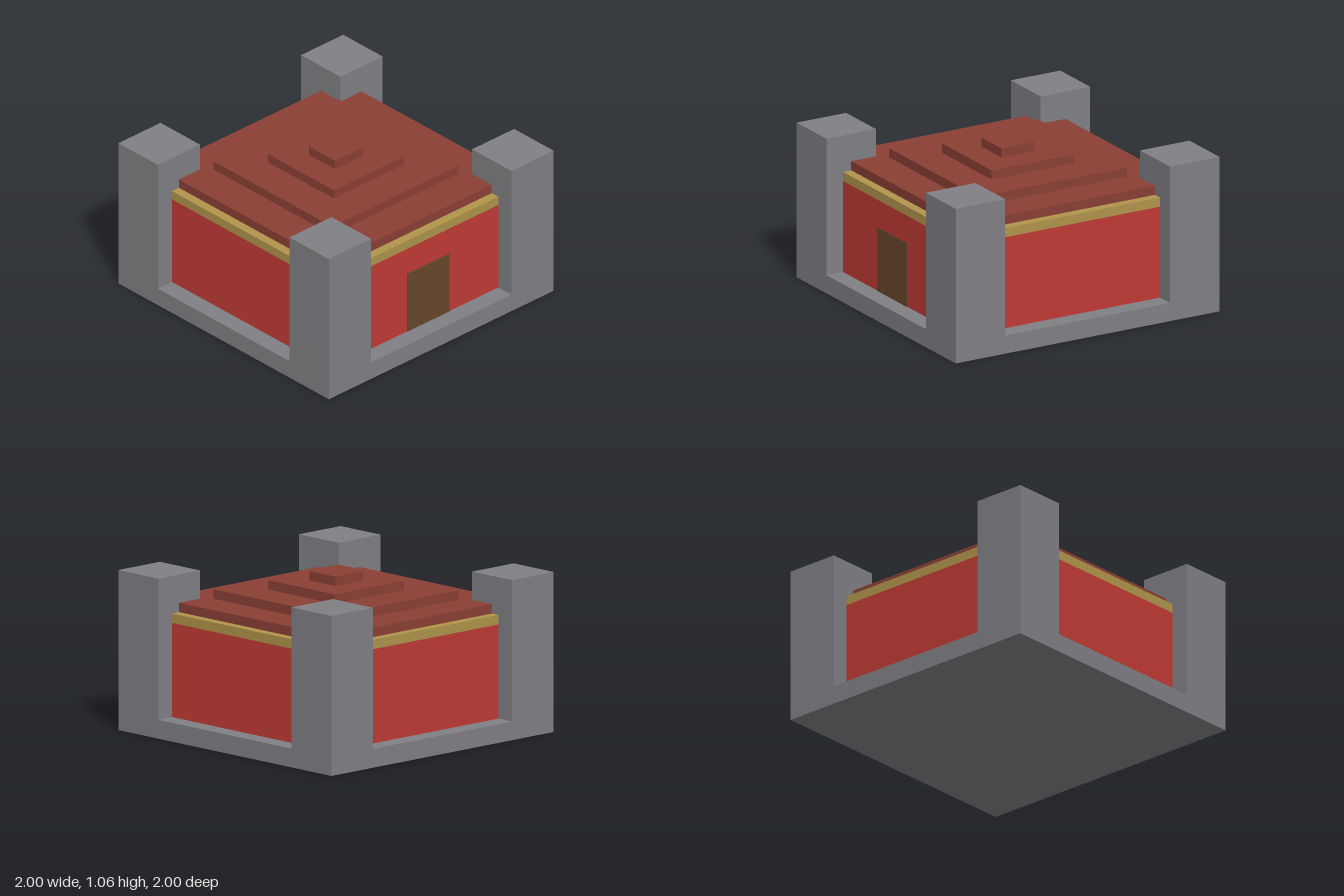
import * as THREE from 'three';

const material = (name, color) => {
  const m = new THREE.MeshStandardMaterial({ color });
  m.name = name;
  return m;
};

export function createModel() {
  const group = new THREE.Group();
  const stone = material('grey stone', 0x808085);
  const red = material('red wall', 0xc03a35);
  const gold = material('gold trim', 0xb0944a);
  const tile = material('roof tile', 0x8a3f34);
  const wood = material('dark wood', 0x68472c);

  // Box given by its width, depth, bottom and top
  const block = (name, mat, w, d, y0, y1, x = 0, z = 0) => {
    const mesh = new THREE.Mesh(new THREE.BoxGeometry(w, y1 - y0, d), mat);
    mesh.position.set(x, (y0 + y1) / 2, z);
    mesh.name = name;
    group.add(mesh);
  };

  // Plinth, walls and trim
  block('base', stone, 2, 2, 0, 0.125);
  block('walls', red, 1.75, 1.75, 0.125, 0.75);
  block('trimBand', gold, 1.75, 1.75, 0.75, 0.8125);

  // Corner towers
  for (const sx of [-1, 1]) {
    for (const sz of [-1, 1]) {
      block('cornerTower', stone, 0.375, 0.375, 0.125, 1.0625, sx * 0.8125, sz * 0.8125);
    }
  }

  // Stepped roof
  [1.625, 1.125, 0.625, 0.25].forEach((w, i) => {
    const y = 0.8125 + i * 0.0625;
    block('roofTier' + (i + 1), tile, w, w, y, y + 0.0625);
  });

  // Door plate on the front wall
  block('door', wood, 0.375, 0.006, 0.125, 0.5625, 0, 0.876);

  return group;
}
